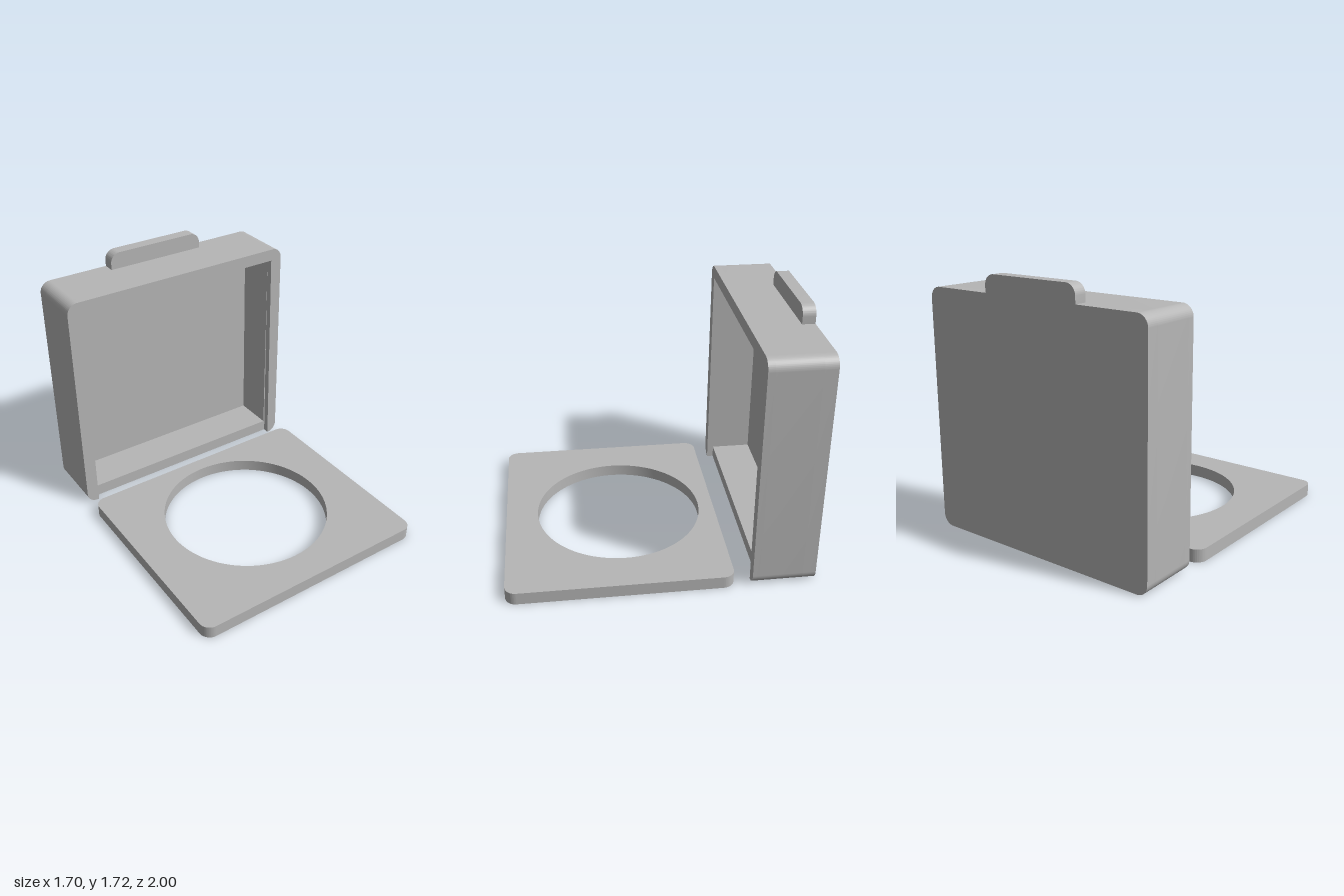
import * as THREE from 'three';
import { toCreasedNormals } from 'three/addons/utils/BufferGeometryUtils.js';

const W = 0.85;      // half width
const H = 1.6;       // case height
const T = 0.085;     // wall thickness
const R = 0.075;     // corner radius
const BACK = -1, FRONT = -0.585, RECESS = 0.045;
const PI = Math.PI;

// Rounded rectangle outline, anticlockwise
function roundedRect(x0, y0, x1, y1, r) {
  const s = new THREE.Shape();
  s.absarc(x1 - r, y0 + r, r, -PI / 2, 0);
  s.absarc(x1 - r, y1 - r, r, 0, PI / 2);
  s.absarc(x0 + r, y1 - r, r, PI / 2, PI);
  s.absarc(x0 + r, y0 + r, r, PI, PI * 1.5);
  s.closePath();
  return s;
}

// Extrude along z with smooth rounds and sharp rims
function slab(shape, depth, curveSegments = 12) {
  const geo = new THREE.ExtrudeGeometry(shape, { depth, curveSegments, bevelEnabled: false });
  return toCreasedNormals(geo, PI / 6);
}

export function createModel() {
  const model = new THREE.Group();
  const grey = new THREE.MeshStandardMaterial({ color: 0xb6b6b6 });
  grey.name = 'plain grey';

  const add = (name, geo, z, parent) => {
    const mesh = new THREE.Mesh(geo, grey);
    mesh.name = name;
    mesh.position.z = z;
    parent.add(mesh);
    return mesh;
  };

  const openCase = new THREE.Group();
  openCase.name = 'openCase';
  model.add(openCase);

  // Back panel with the tab on its top edge, as one outline
  const tabW = 0.355, tabTop = 1.715, tabR = 0.07;
  const back = new THREE.Shape();
  back.absarc(W - R, R, R, -PI / 2, 0);
  back.absarc(W - R, H - R, R, 0, PI / 2);
  back.lineTo(tabW, H);
  back.absarc(tabW - tabR, tabTop - tabR, tabR, 0, PI / 2);
  back.absarc(-tabW + tabR, tabTop - tabR, tabR, PI / 2, PI);
  back.lineTo(-tabW, H);
  back.absarc(-W + R, H - R, R, PI / 2, PI);
  back.absarc(-W + R, R, R, PI, PI * 1.5);
  back.closePath();
  add('backPanelWithTab', slab(back, T), BACK, openCase);

  // Four walls around the cavity
  const ix = W - T;
  const walls = roundedRect(-W, 0, W, H, R);
  const cavity = new THREE.Path();
  cavity.moveTo(-ix, T);
  cavity.lineTo(-ix, H - T);
  cavity.lineTo(ix, H - T);
  cavity.lineTo(ix, T);
  cavity.closePath();
  walls.holes.push(cavity);
  add('caseWalls', slab(walls, FRONT - RECESS - BACK - T), BACK + T, openCase);

  // Front rim: sides and top only, leaving the bottom wall set back
  const rim = new THREE.Shape();
  rim.moveTo(ix, 0);
  rim.absarc(W - R, R, R, -PI / 2, 0);
  rim.absarc(W - R, H - R, R, 0, PI / 2);
  rim.absarc(-W + R, H - R, R, PI / 2, PI);
  rim.absarc(-W + R, R, R, PI, PI * 1.5);
  rim.lineTo(-ix, 0);
  rim.lineTo(-ix, H - T);
  rim.lineTo(ix, H - T);
  rim.closePath();
  add('frontRim', slab(rim, RECESS), FRONT - RECESS, openCase);

  // Flat lid with a round opening, lying in front of the case
  const lid = roundedRect(-W, -1, W, 0.475, R);
  const opening = new THREE.Path();
  opening.absarc(0, -0.205, 0.575, 0, PI * 2, true);
  lid.holes.push(opening);
  const lidGeo = slab(lid, T, 48);
  lidGeo.rotateX(-PI / 2);
  add('lidPlate', lidGeo, 0, model);

  return model;
}
